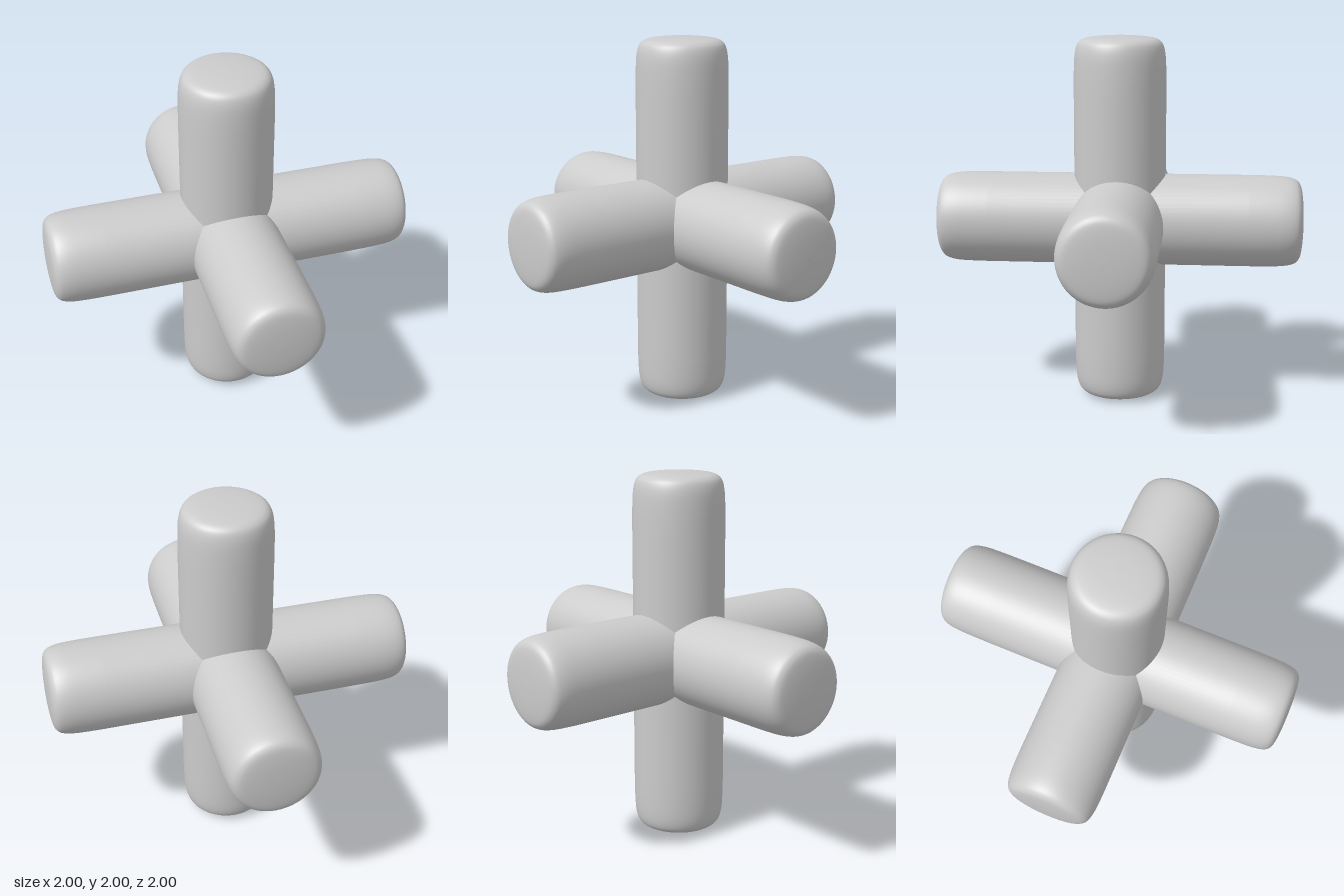
import * as THREE from 'three';

export function createModel() {
  const group = new THREE.Group();
  const material = new THREE.MeshStandardMaterial({ color: 0xcccccc });

  // Softly rounded end: straight side, tightening corner, nearly flat cap
  const end = new THREE.SplineCurve([
    [0.25, 0.7], [0.249, 0.8], [0.245, 0.89], [0.234, 0.945],
    [0.215, 0.973], [0.18, 0.988], [0.1, 0.997], [0, 1],
  ].map(([r, h]) => new THREE.Vector2(r, h))).getPoints(28);
  end[end.length - 1].x = 0;

  // Full bar profile, mirrored bottom to top
  const lower = end.map((p) => new THREE.Vector2(p.x, -p.y)).reverse();
  const barGeometry = new THREE.LatheGeometry([...lower, ...end], 64);

  // Three identical bars crossing at the centre
  const bars = [
    ['verticalBar', 0, 0],
    ['sidewaysBar', 0, Math.PI / 2],
    ['frontToBackBar', Math.PI / 2, 0],
  ];
  for (const [name, rx, rz] of bars) {
    const bar = new THREE.Mesh(barGeometry, material);
    bar.name = name;
    bar.rotation.set(rx, 0, rz);
    bar.position.y = 1;
    group.add(bar);
  }
  return group;
}
